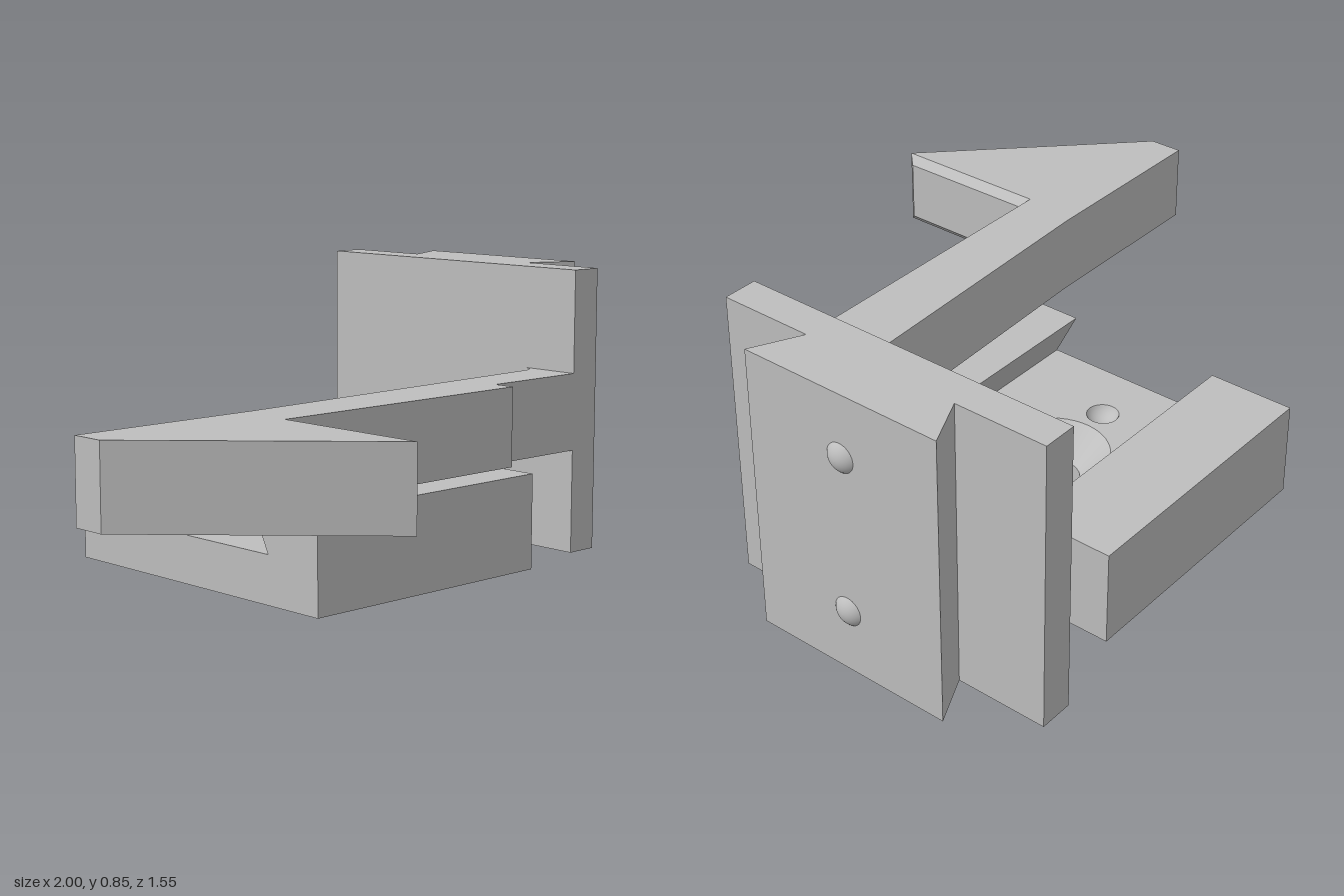
import * as THREE from 'three';
import { ConvexGeometry } from 'three/addons/geometries/ConvexGeometry.js';

const grey = new THREE.MeshStandardMaterial({ color: 0xbebebe });
grey.name = 'grey plastic';

// Closed shape from [x, z] plan points, ready to be extruded upwards
const planShape = (points) => new THREE.Shape(points.map(([x, z]) => new THREE.Vector2(x, -z)));

function addHole(shape, x, z, r) {
  const hole = new THREE.Path();
  hole.absarc(x, -z, r, 0, Math.PI * 2, true);
  shape.holes.push(hole);
}

// Extrude a plan shape from height y0 to y1
function extrudeUp(shape, y0, y1) {
  return new THREE.ExtrudeGeometry(shape, { depth: y1 - y0, bevelEnabled: false, curveSegments: 24 })
    .rotateX(-Math.PI / 2).translate(0, y0, 0);
}

// Extrude a [z, y] side profile from x0 to x1
function extrudeAlongX(points, x0, x1) {
  const shape = new THREE.Shape(points.map(([z, y]) => new THREE.Vector2(-z, y)));
  return new THREE.ExtrudeGeometry(shape, { depth: x1 - x0, bevelEnabled: false })
    .rotateY(Math.PI / 2).translate(x0, 0, 0);
}

// Shallow spherical cap: height above zero bulges, below zero makes a dimple
function cap(r, height) {
  const R = (r * r + height * height) / (2 * Math.abs(height));
  const span = Math.asin(r / R);
  const points = [];
  for (let i = 0; i <= 8; i++) {
    const a = span * (1 - i / 8);
    const rise = R * Math.cos(a) - R * Math.cos(span);
    points.push(new THREE.Vector2(R * Math.sin(a), Math.sign(height) * rise));
  }
  return new THREE.LatheGeometry(points, 32);
}

export function createModel() {
  const model = new THREE.Group();
  const add = (parent, name, geometry) => {
    const mesh = new THREE.Mesh(geometry, grey);
    mesh.name = name;
    parent.add(mesh);
    return mesh;
  };

  // Base block with dovetail slot, countersunk screw hole and two dimples
  const base = new THREE.Group();
  base.name = 'base';
  model.add(base);
  const [x0, x1, zBack, zFront] = [-0.35, 0.49, -0.71, 0.30];
  const [floorY, sinkY, topY] = [0.14, 0.055, 0.28];
  const hole = { x: 0.07, z: -0.205, r: 0.078, sinkR: 0.163 };
  const dimpleXs = [-0.165, 0.31];
  const dimpleR = 0.047;
  const outline = [[x0, zFront], [x1, zFront], [x1, zBack], [x0, zBack]];

  const lower = planShape(outline);
  addHole(lower, hole.x, hole.z, hole.r);
  add(base, 'baseBottom', extrudeUp(lower, 0, sinkY));

  const upper = planShape(outline);
  addHole(upper, hole.x, hole.z, hole.sinkR);
  dimpleXs.forEach((x) => addHole(upper, x, hole.z, dimpleR));
  add(base, 'slotFloor', extrudeUp(upper, sinkY, floorY));

  add(base, 'countersink', new THREE.LatheGeometry([
    new THREE.Vector2(hole.sinkR, floorY), new THREE.Vector2(hole.r, sinkY),
  ], 48)).position.set(hole.x, 0, hole.z);
  dimpleXs.forEach((x) => {
    add(base, 'dimple', cap(dimpleR, -0.03)).position.set(x, floorY, hole.z);
  });

  // Undercut rails on both sides of the slot
  add(base, 'frontRail', extrudeAlongX(
    [[zFront, floorY], [zFront, topY], [0.035, topY], [0.105, floorY]], x0, x1));
  add(base, 'backRail', extrudeAlongX(
    [[zBack, floorY], [zBack, topY], [-0.45, topY], [-0.52, floorY]], x0, x1));

  // Upright plate with dovetail slider
  const slider = new THREE.Group();
  slider.name = 'slider';
  model.add(slider);
  add(slider, 'sliderPlate', extrudeUp(planShape([
    [0.74, 0.235], [0.84, 0.235], [0.84, -0.04], [0.98, 0.03],
    [0.98, -0.575], [0.84, -0.51], [0.84, -0.78], [0.74, -0.78],
  ]), 0, 0.845));
  [0.19, 0.66].forEach((y) => {
    add(slider, 'detentBump', cap(0.042, 0.02).rotateZ(-Math.PI / 2)).position.set(0.98, y, -0.27);
  });

  // Arm with stepped front, tapered back, root fillet and triangular hook
  const [armY0, armY1] = [0.31, 0.54];
  const arm = planShape([
    [0.74, 0.04], [0.74, 0.235], [0.40, 0.235], [0.40, 0.30], [-0.463, 0.30],
    [-0.463, 0.772], [-1, 0.235], [-1, 0.135], [-0.43, 0.135], [0.69, 0.088],
  ]);
  arm.bezierCurveTo(0.72, -0.086, 0.737, -0.07, 0.74, -0.04);
  add(model, 'hookArm', extrudeUp(arm, armY0, armY1));

  // Chamfered gripping face of the hook
  const c = 0.025;
  const corners = [];
  for (const [x, inset] of [[-0.463, 0], [-0.44, c]]) {
    for (const y of [armY0 + inset, armY1 - inset]) {
      for (const z of [0.30, 0.772 - inset]) corners.push(new THREE.Vector3(x, y, z));
    }
  }
  add(model, 'hookFace', new ConvexGeometry(corners));

  return model;
}
